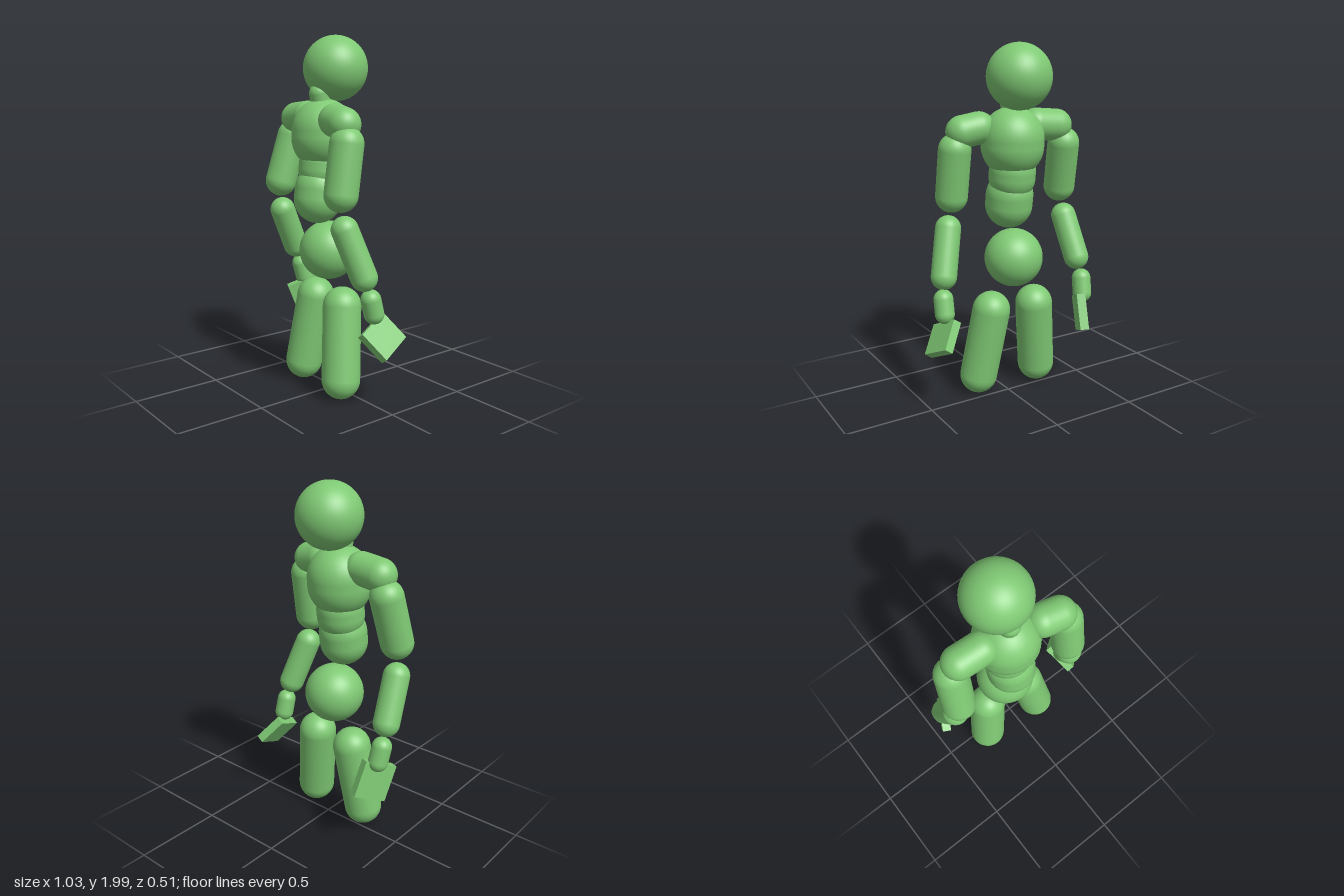
import * as THREE from 'three';

const green = new THREE.MeshStandardMaterial({ color: 0x7fc974 });
green.name = 'green';

const vec = (p) => new THREE.Vector3(p[0], p[1], p[2]);

// Capsule whose end spheres are centred on a and b
function capsule(name, a, b, radius) {
  const from = vec(a), to = vec(b);
  const axis = to.clone().sub(from);
  const mesh = new THREE.Mesh(new THREE.CapsuleGeometry(radius, axis.length(), 14, 36), green);
  mesh.name = name;
  mesh.position.copy(from).add(to).multiplyScalar(0.5);
  mesh.quaternion.setFromUnitVectors(new THREE.Vector3(0, 1, 0), axis.normalize());
  return mesh;
}

function ball(name, centre, radius) {
  const mesh = new THREE.Mesh(new THREE.SphereGeometry(radius, 48, 32), green);
  mesh.name = name;
  mesh.position.set(...centre);
  return mesh;
}

// Flat paddle hand: across and along are the full edge vectors of the palm
function paddle(name, centre, across, along, thickness) {
  const u = vec(across), v = vec(along);
  const mesh = new THREE.Mesh(new THREE.BoxGeometry(u.length(), v.length(), thickness), green);
  u.normalize();
  const n = u.clone().cross(v).normalize();
  const basis = new THREE.Matrix4().makeBasis(u, n.clone().cross(u), n);
  mesh.name = name;
  mesh.quaternion.setFromRotationMatrix(basis);
  mesh.position.set(...centre);
  return mesh;
}

export function createModel() {
  const model = new THREE.Group();
  model.name = 'figure';

  // Head and torso
  model.add(
    ball('head', [-0.043, 1.821, -0.043], 0.179),
    capsule('neck', [-0.05, 1.685, 0.065], [-0.05, 1.6, 0.045], 0.055),
    capsule('chest', [-0.05, 1.482, 0.035], [-0.05, 1.445, 0.037], 0.177),
    capsule('waist', [-0.052, 1.3, 0.04], [-0.052, 1.265, 0.044], 0.132),
    capsule('belly', [-0.05, 1.16, 0.067], [-0.05, 1.106, 0.075], 0.135),
    ball('pelvis', [-0.04, 0.81, 0.007], 0.166),
  );

  // Limbs: name, first end, second end, radius
  const limbs = [
    ['rightShoulder', [-0.2, 1.555, 0.03], [-0.328, 1.545, 0.018], 0.09],
    ['rightUpperArm', [-0.378, 1.44, 0.012], [-0.403, 1.178, 0.082], 0.091],
    ['rightForearm', [-0.423, 1.0, 0.06], [-0.443, 0.765, -0.047], 0.073],
    ['rightWrist', [-0.45, 0.645, -0.092], [-0.443, 0.56, -0.113], 0.055],
    ['rightThigh', [-0.175, 0.515, 0], [-0.225, 0.115, 0.05], 0.108],
    ['leftShoulder', [0.13, 1.545, 0.095], [0.225, 1.527, 0.112], 0.09],
    ['leftUpperArm', [0.264, 1.43, 0.125], [0.268, 1.168, 0.165], 0.091],
    ['leftForearm', [0.295, 0.99, 0.162], [0.364, 0.738, 0.088], 0.073],
    ['leftWrist', [0.385, 0.62, 0.058], [0.388, 0.54, 0.038], 0.055],
    ['leftThigh', [0.1, 0.515, 0.022], [0.157, 0.113, 0.075], 0.108],
  ];
  for (const limb of limbs) model.add(capsule(...limb));

  // Hands
  model.add(
    paddle('rightHand', [-0.425, 0.445, -0.125], [0.085, 0.07, -0.16], [0.025, -0.19, -0.08], 0.05),
    paddle('leftHand', [0.42, 0.413, 0.005], [-0.04, 0.08, -0.175], [0.097, -0.128, -0.085], 0.05),
  );
  return model;
}
